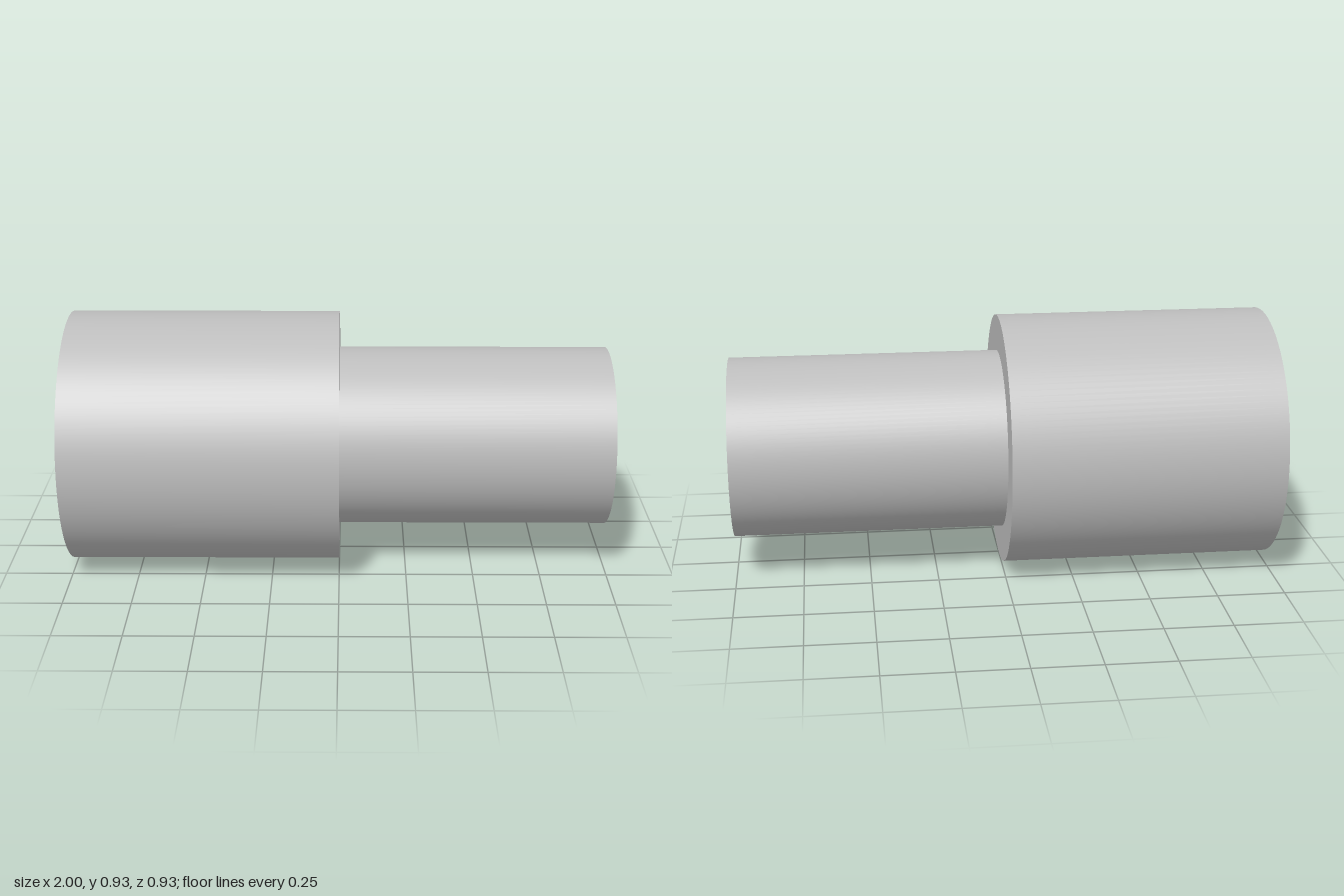
import * as THREE from 'three';
import { mergeGeometries } from 'three/addons/utils/BufferGeometryUtils.js';

const SEGMENTS = 128;
const AXIS_HEIGHT = 0.467;

// Turns a [radius, x] profile about the x axis, keeping each profile corner sharp.
function turned(name, profile, material) {
  const bands = [];
  for (let i = 0; i < profile.length - 1; i++) {
    const ends = [profile[i], profile[i + 1]].map(([r, x]) => new THREE.Vector2(r, x));
    bands.push(new THREE.LatheGeometry(ends, SEGMENTS));
  }
  const geometry = mergeGeometries(bands);
  geometry.rotateZ(-Math.PI / 2);
  const mesh = new THREE.Mesh(geometry, material);
  mesh.name = name;
  return mesh;
}

export function createModel() {
  const metal = new THREE.MeshStandardMaterial({ color: 0xbdbdbd });
  metal.name = 'plain grey';

  const outer = 0.467, tubeOuter = 0.333, tubeInner = 0.3, bore = 0.217;
  const model = new THREE.Group();
  model.name = 'steppedSleeve';

  // Thick collar: inner step, bore, end face, outer wall and shoulder
  model.add(turned('collar', [
    [tubeInner, 0], [bore, 0], [bore, -1], [outer, -1], [outer, 0], [tubeOuter, 0],
  ], metal));

  // Thin-walled tube: outer wall, rim and inner wall
  model.add(turned('tube', [
    [tubeOuter, 0], [tubeOuter, 1], [tubeInner, 1], [tubeInner, 0],
  ], metal));

  model.position.y = AXIS_HEIGHT;
  return model;
}
